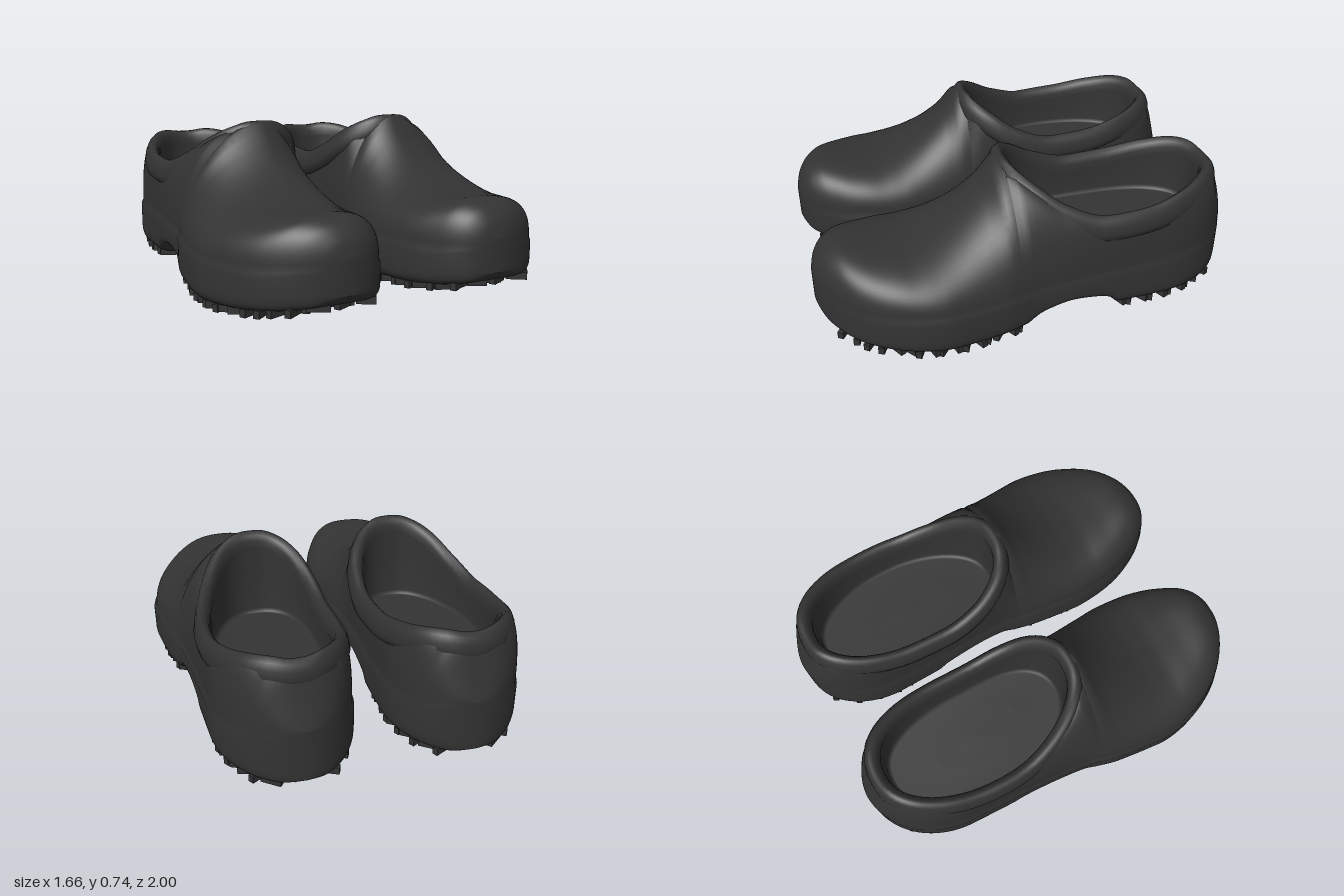
import * as THREE from 'three';
import { mergeVertices, mergeGeometries } from 'three/addons/utils/BufferGeometryUtils.js';

// Smooth curve through [z, value] pairs without overshoot
function curve(...pts) {
  const slope = (i) => (pts[i + 1][1] - pts[i][1]) / (pts[i + 1][0] - pts[i][0]);
  const tangent = (i) => {
    if (i === 0) return slope(0);
    if (i === pts.length - 1) return slope(i - 1);
    const a = slope(i - 1), b = slope(i);
    return a * b <= 0 ? 0 : (2 * a * b) / (a + b);
  };
  return (z) => {
    let i = 0;
    while (i < pts.length - 2 && z > pts[i + 1][0]) i++;
    const h = pts[i + 1][0] - pts[i][0];
    const t = Math.min(1, Math.max(0, (z - pts[i][0]) / h)), u = 1 - t;
    return u * u * (1 + 2 * t) * pts[i][1] + u * u * t * h * tangent(i)
      + t * t * (3 - 2 * t) * pts[i + 1][1] - t * t * u * h * tangent(i + 1);
  };
}

// Surface through rows of points
function loft(rows) {
  const n = rows[0].length, index = [];
  for (let i = 0; i < rows.length - 1; i++) {
    for (let j = 0; j < n - 1; j++) {
      const a = i * n + j, b = a + 1, c = a + n, d = c + 1;
      index.push(a, c, b, b, c, d);
    }
  }
  const g = new THREE.BufferGeometry();
  g.setAttribute('position', new THREE.Float32BufferAttribute(rows.flat(2), 3));
  g.setIndex(index);
  const merged = mergeVertices(g, 1e-4);
  merged.computeVertexNormals();
  return merged;
}

function mirrored(geometry) {
  const g = geometry.clone().scale(-1, 1, 1), ix = g.index.array;
  for (let i = 0; i < ix.length; i += 3) [ix[i + 1], ix[i + 2]] = [ix[i + 2], ix[i + 1]];
  g.computeVertexNormals();
  return g;
}

// Shoe lines along z: centres, widths, heights
const soleCentre = curve([-1, 0.38], [-0.85, 0.39], [-0.3, 0.41], [0.2, 0.435], [0.45, 0.437], [0.8, 0.415], [1, 0.37]);
const topCentre = curve([-1, 0.38], [-0.4, 0.395], [0.115, 0.36], [0.6, 0.385], [1, 0.37]);
const baseWidth = curve([-0.6, 0.322], [-0.3, 0.322], [0, 0.327], [0.2, 0.365], [0.45, 0.392]);
const halfWidth = (z) => {
  const t = z < -0.6 ? (-0.6 - z) / 0.4 : z > 0.45 ? (z - 0.45) / 0.55 : 0;
  return baseWidth(z) * Math.sqrt(Math.max(0, 1 - t * t));
};
const topLine = curve([-1, 0.31], [-0.97, 0.41], [-0.95, 0.48], [-0.93, 0.55], [-0.905, 0.6], [-0.88, 0.612],
  [-0.7, 0.575], [-0.5, 0.535], [-0.3, 0.525], [-0.12, 0.585], [0, 0.665], [0.085, 0.722], [0.12, 0.745], [0.2, 0.65],
  [0.3, 0.55], [0.4, 0.48], [0.5, 0.435], [0.6, 0.417], [0.7, 0.42], [0.86, 0.435], [0.93, 0.41], [0.98, 0.35], [1, 0.28]);
const sideLine = curve([-1, 0.29], [-0.9, 0.25], [-0.4, 0.22], [0.8, 0.2], [1, 0.23]);
const bottomLine = curve([-1, 0.05], [-0.96, 0.03], [-0.8, 0.02], [-0.5, 0.012], [-0.37, 0.015], [-0.34, 0.05],
  [-0.25, 0.08], [-0.13, 0.095], [-0.02, 0.075], [0.05, 0.045], [0.075, 0.022], [0.4, 0], [0.6, 0.01], [0.8, 0.03],
  [0.95, 0.065], [1, 0.11]);
const fullness = curve([-1, 2.4], [-0.4, 2.3], [0, 1.75], [0.15, 1.7], [0.4, 2.1], [0.7, 2.7], [1, 2.4]);

// Opening: a rounded oval
const RIM = { z: -0.395, a: 0.29, b: 0.51, p: 2.3 };
const rimHalf = (z) => {
  const t = Math.abs((z - RIM.z) / RIM.b);
  return t >= 1 ? 0 : RIM.a * Math.pow(1 - Math.pow(t, RIM.p), 1 / RIM.p);
};
const pw = (v, e) => Math.sign(v) * Math.pow(Math.abs(v), e);

// One cross-section, from the right edge under the sole to the left edge
function section(z) {
  const w = halfWidth(z), ex = rimHalf(z), cx = soleCentre(z), tc = topCentre(z);
  const ym = sideLine(z), top = topLine(z) - (ex > 0 ? 0.02 : 0);
  const yb = bottomLine(z) + 0.018, e = 2 / fullness(z);
  const half = (s) => {
    const pts = [];
    for (let j = 0; j <= 16; j++) {
      const a = (Math.PI / 2) * (1 - j / 16);
      const c = Math.pow(Math.max(0, Math.cos(a)), e), sn = Math.pow(Math.sin(a), e);
      const x0 = tc + s * ex, x1 = cx + s * w * 0.965;
      pts.push([x0 + (x1 - x0) * (j ? c : 0), ym + 0.015 + (top - ym - 0.015) * sn, z]);
    }
    for (let j = 0; j <= 12; j++) {
      const a = (Math.PI / 2) * (j / 12);
      const c = j === 12 ? 0 : Math.pow(Math.cos(a), 0.27);
      pts.push([cx + s * w * c, ym - (ym - yb) * Math.pow(Math.sin(a), 0.27), z]);
    }
    return pts;
  };
  return [...half(1), ...half(-1).reverse()];
}

function bodyGeometry() {
  const zs = [RIM.z - RIM.b, RIM.z + RIM.b];
  for (let i = 0; i <= 110; i++) zs.push(-Math.cos((Math.PI * i) / 110));
  return loft(zs.sort((a, b) => a - b).map(section));
}

// Ring at an outward offset from the opening line
function rimRing(out, height, scale = 1) {
  const ring = [], n = 72, e = 2 / RIM.p;
  for (let i = 0; i <= n; i++) {
    const t = (2 * Math.PI * (i % n)) / n, c = Math.cos(t), s = Math.sin(t);
    const z = RIM.z + RIM.b * pw(s, e);
    const nx = pw(c, 2 - e) / RIM.a, nz = pw(s, 2 - e) / RIM.b, l = Math.hypot(nx, nz);
    const x = RIM.a * pw(c, e) + (out * nx) / l;
    const zz = z + (out * nz) / l - RIM.z;
    ring.push([topCentre(z) * scale + 0.385 * (1 - scale) + x * scale, height(z), RIM.z + zz * scale]);
  }
  return ring;
}

// Padded collar rolling over the opening
function collarGeometry() {
  const profile = [[0.015, -0.125], [0.034, -0.11], [0.04, -0.08], [0.034, -0.045], [0.022, -0.015],
    [0.006, 0.001], [-0.01, 0], [-0.026, -0.015], [-0.036, -0.04], [-0.038, -0.07]];
  return loft(profile.map(([o, dy]) => rimRing(o, (z) => topLine(z) + dy)));
}

// Inner wall and footbed
function liningGeometry() {
  const floor = 0.32;
  return loft([
    rimRing(-0.036, (z) => topLine(z) - 0.04),
    rimRing(-0.038, (z) => (topLine(z) + floor) / 2),
    rimRing(-0.04, () => floor + 0.015),
    rimRing(-0.05, () => floor),
    rimRing(-0.06, () => floor - 0.003),
    rimRing(-0.06, () => floor - 0.005, 0.5),
    rimRing(-0.06, () => floor - 0.005, 0),
  ]);
}

// Short angled tread bars under the forefoot and heel
function treadGeometry() {
  const bars = [];
  let seed = 7;
  const rand = () => (seed = (seed * 16807) % 2147483647) / 2147483647;
  const patch = (z0, z1) => {
    let row = 0;
    for (let z = z0; z <= z1; z += 0.052, row++) {
      const reach = halfWidth(z) * 0.97 - 0.06;
      const count = Math.floor((2 * reach) / 0.085);
      for (let k = 0; k <= count; k++) {
        const x = soleCentre(z) - reach + (2 * reach * k) / count;
        const g = new THREE.BoxGeometry(0.08 + 0.02 * rand(), 0.034, 0.028);
        g.rotateY(((row + k) % 2 ? 1 : -1) * (0.3 + 0.4 * rand()));
        bars.push(g.translate(x, bottomLine(z) + 0.017, z));
      }
    }
  };
  patch(0.11, 0.91);
  patch(-0.92, -0.39);
  return mergeGeometries(bars);
}

export function createModel() {
  const rubber = new THREE.MeshStandardMaterial({ color: 0x333333, side: THREE.DoubleSide });
  rubber.name = 'black rubber';
  const parts = { body: bodyGeometry(), collar: collarGeometry(), lining: liningGeometry(), tread: treadGeometry() };
  const model = new THREE.Group();
  model.name = 'clogs';
  for (const side of ['left', 'right']) {
    const shoe = new THREE.Group();
    shoe.name = side + 'Clog';
    for (const [name, geometry] of Object.entries(parts)) {
      const mesh = new THREE.Mesh(side === 'left' ? geometry : mirrored(geometry), rubber);
      mesh.name = name;
      shoe.add(mesh);
    }
    model.add(shoe);
  }
  return model;
}
